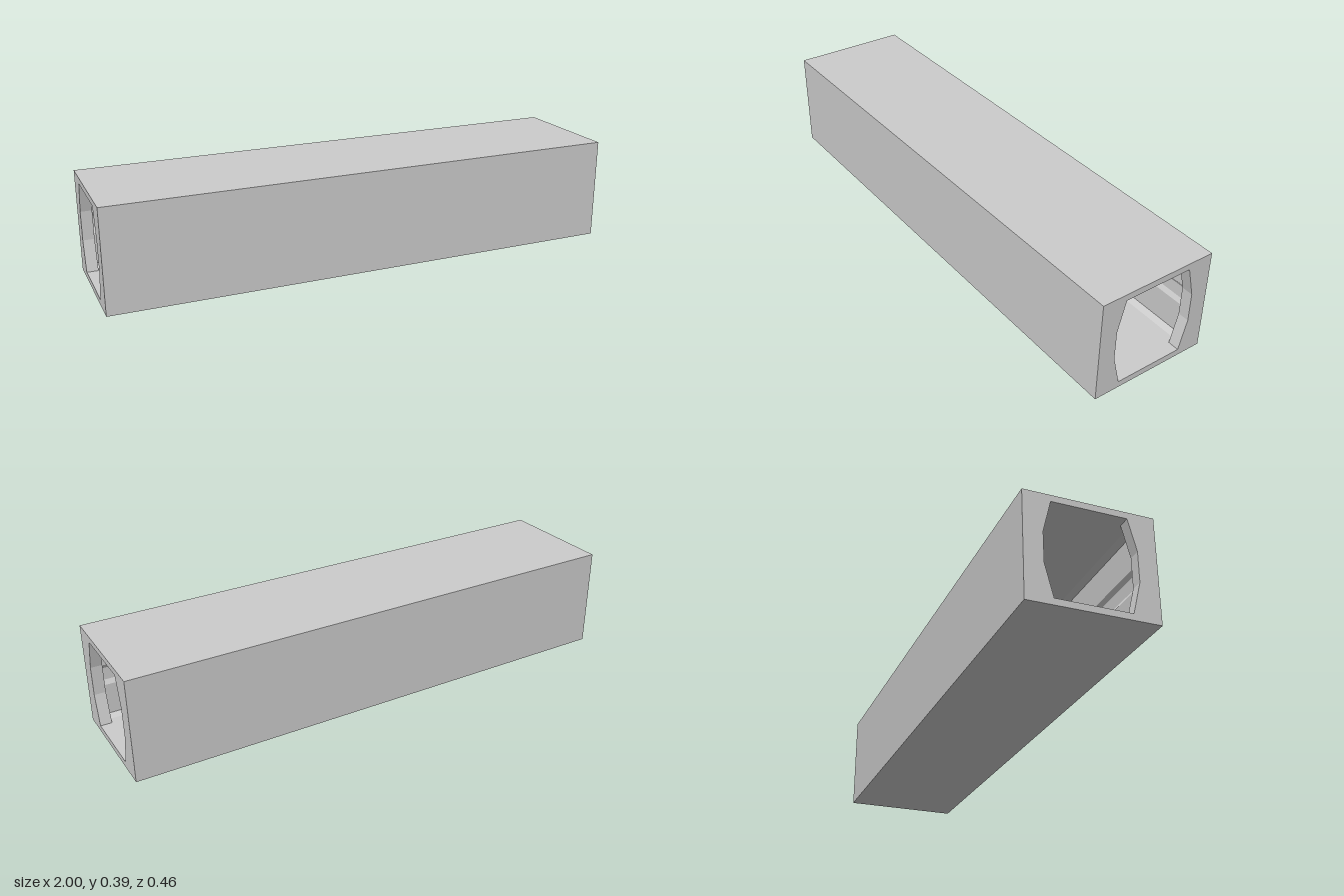
import * as THREE from 'three';

const HEIGHT = 0.392, HALF_DEPTH = 0.23, END = 1, COLLAR = 0.043;

// Completes a right half section [z, y], listed bottom to top, into a closed loop.
const mirrorZ = (half) => [...half, ...half.map(([z, y]) => [-z, y]).reverse()];
// Completes the lower right quarter of a section into its right half.
const mirrorY = (quarter) => [...quarter, ...quarter.map(([z, y]) => [z, HEIGHT - y]).reverse()];

const outerHalf = mirrorY([[HALF_DEPTH, 0]]);
const collarHalf = mirrorY([[0.133, 0.024], [0.162, 0.14]]);
const channelHalf = mirrorY([[0.162, 0.024], [0.185, 0.035], [0.185, 0.155], [0.195, 0.172]]);

// Flat-sided walls along x following a closed section; faces outward when x0 < x1.
function walls(loop, x0, x1) {
  const pos = [];
  loop.forEach(([za, ya], i) => {
    const [zb, yb] = loop[(i + 1) % loop.length];
    pos.push(x0, ya, za, x1, ya, za, x1, yb, zb);
    pos.push(x0, ya, za, x1, yb, zb, x0, yb, zb);
  });
  const geo = new THREE.BufferGeometry();
  geo.setAttribute('position', new THREE.Float32BufferAttribute(pos, 3));
  geo.computeVertexNormals();
  return geo;
}

// Flat face across the section at position x, looking along +x or -x.
function plate(loop, x, facing, hole) {
  const toPoints = (l) => l.map(([z, y]) => new THREE.Vector2(z, y));
  const shape = new THREE.Shape(toPoints(loop));
  if (hole) shape.holes.push(new THREE.Path(toPoints(hole)));
  return new THREE.ShapeGeometry(shape).rotateY(facing * Math.PI / 2).translate(x, 0, 0);
}

export function createModel() {
  const group = new THREE.Group();
  const material = new THREE.MeshStandardMaterial({ color: 0xcccccc, flatShading: true });
  const add = (name, geometry) => {
    const mesh = new THREE.Mesh(geometry, material);
    mesh.name = name;
    group.add(mesh);
  };

  const outer = mirrorZ(outerHalf);
  const collar = mirrorZ(collarHalf);
  const inner = END - COLLAR;

  // Plain outside and grooved inside of the tube
  add('outerShell', walls(outer, -END, END));
  add('groovedChannel', walls(mirrorZ(channelHalf), inner, -inner));

  // Narrower collar at each end, with a shoulder on both sides behind it
  const shoulder = [...channelHalf, ...[...collarHalf].reverse()];
  const shoulderMirrored = shoulder.map(([z, y]) => [-z, y]);
  for (const s of [-1, 1]) {
    add('endFrame', plate(outer, s * END, s, collar));
    add('collar', walls(collar, s > 0 ? END : -inner, s > 0 ? inner : -END));
    add('shoulder', plate(shoulder, s * inner, -s));
    add('shoulder', plate(shoulderMirrored, s * inner, -s));
  }
  return group;
}
